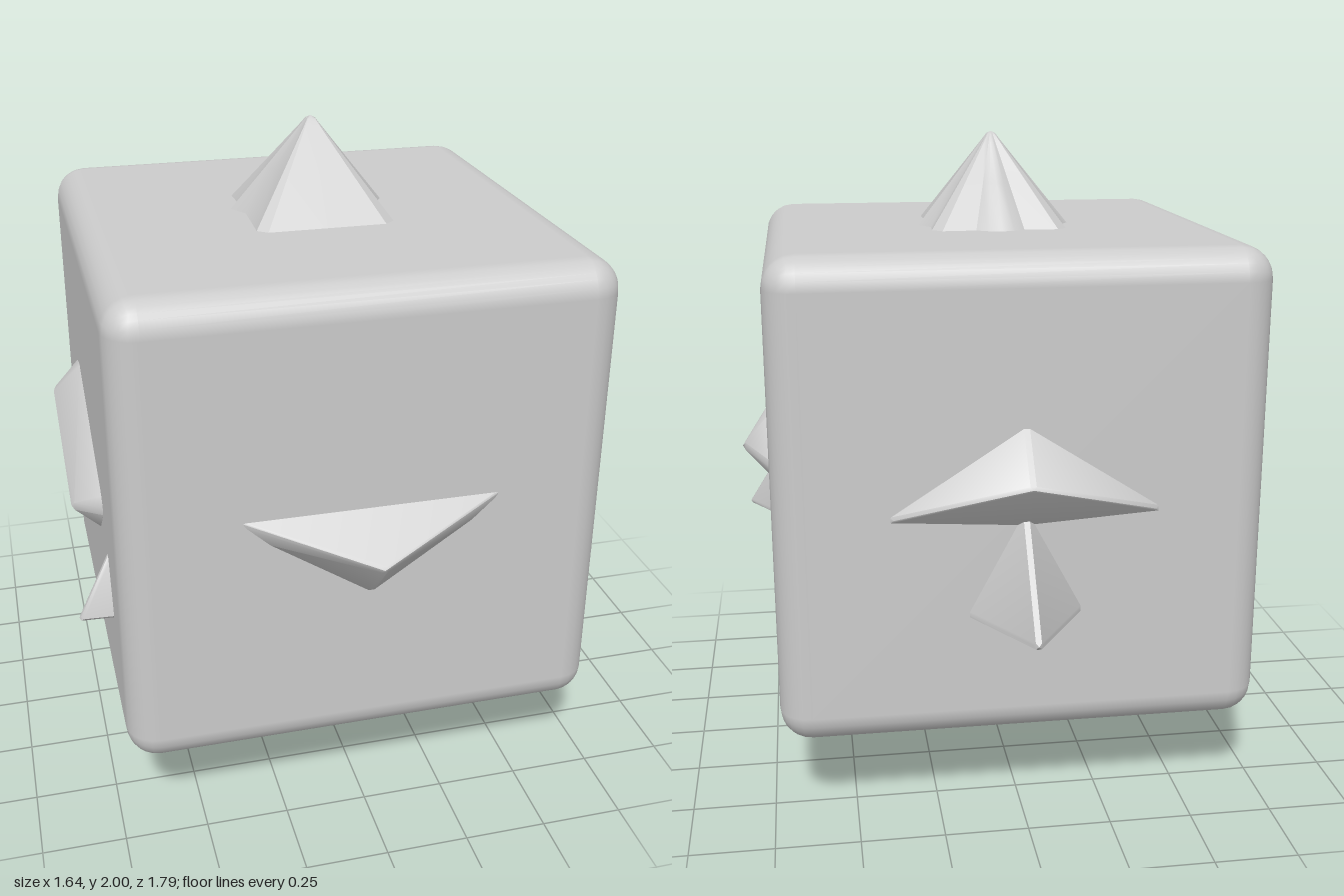
import * as THREE from 'three';
import { toCreasedNormals } from 'three/addons/utils/BufferGeometryUtils.js';
import { RoundedBoxGeometry } from 'three/addons/geometries/RoundedBoxGeometry.js';
import { ConvexGeometry } from 'three/addons/geometries/ConvexGeometry.js';

const material = new THREE.MeshStandardMaterial({ color: 0xcccccc });
const Z0 = 0.052; // depth centre of the cube

function add(group, name, geometry) {
  const mesh = new THREE.Mesh(geometry, material);
  mesh.name = name;
  group.add(mesh);
  return mesh;
}

// Convex solid with softened corners: a tiny faceted ball sits at every corner
function softHull(corners, r = 0.015) {
  const points = [];
  for (const [x, y, z] of corners) {
    const centre = new THREE.Vector3(x, y, z);
    for (let i = -1; i <= 1; i++) for (let j = -1; j <= 1; j++) for (let k = -1; k <= 1; k++) {
      const n = Math.abs(i) + Math.abs(j) + Math.abs(k);
      if (n === 1 || n === 3) points.push(new THREE.Vector3(i, j, k).setLength(r).add(centre));
    }
  }
  return toCreasedNormals(new ConvexGeometry(points), 0.75);
}

// Pyramid whose fluted outline shrinks ring by ring to the tip
function flutedPyramid(outline, rings) {
  const position = [];
  const at = ([x, z], [s, y]) => [x * s, y, Z0 + (z - Z0) * s];
  for (let r = 0; r < rings.length - 1; r++) {
    outline.forEach((p, i) => {
      const q = outline[(i + 1) % outline.length];
      const a = at(p, rings[r]), b = at(q, rings[r]);
      const c = at(q, rings[r + 1]), d = at(p, rings[r + 1]);
      position.push(...a, ...b, ...d);
      if (rings[r + 1][0] > 0) position.push(...b, ...c, ...d);
    });
  }
  const g = new THREE.BufferGeometry();
  g.setAttribute('position', new THREE.Float32BufferAttribute(position, 3));
  g.computeVertexNormals();
  return toCreasedNormals(g, 0.5);
}

export function createModel() {
  const model = new THREE.Group();
  model.name = 'spikedCube';

  // Cube body with rounded edges
  const body = add(model, 'body', new RoundedBoxGeometry(1.443, 1.443, 1.443, 3, 0.095));
  body.position.set(0, 0.993, Z0);

  // Top spike: square at the front, fluted on the sides and back
  const half = [[0, 0.265], [0.18, 0.265], [0.21, 0.24], [0.205, 0.06], [0.24, 0.0],
    [0.205, -0.06], [0.21, -0.14], [0.18, -0.17], [0.075, -0.165], [0.04, -0.19]];
  const outline = [...half, [0, -0.2], ...half.slice(1).reverse().map(([x, z]) => [-x, z])];
  add(model, 'topSpike', flutedPyramid(outline,
    [[1.04, 1.7], [0.55, 1.845], [0.13, 1.97], [0.06, 1.992], [0, 2]]));

  // Bottom spike: plain square pyramid
  add(model, 'bottomSpike', softHull([
    [0.195, 0.28, 0.25], [-0.195, 0.28, 0.25], [0.195, 0.28, -0.145], [-0.195, 0.28, -0.145],
    [0, 0.022, Z0]], 0.02));

  // Front wedge: wide, pointing down
  add(model, 'frontWedge', softHull([
    [-0.37, 1.055, 0.76], [0.37, 1.055, 0.76], [0.3, 0.99, 0.76], [-0.3, 0.99, 0.76],
    [0, 0.79, 0.76], [0, 0.925, 0.882]]));

  // Back wedge: wide, pointing up
  add(model, 'backWedge', softHull([
    [-0.38, 0.97, -0.66], [0.38, 0.97, -0.66], [0, 1.215, -0.66], [0, 0.945, -0.66],
    [0, 1.08, -0.777]]));

  // Back spike below the wedge
  add(model, 'backSpike', softHull([
    [0, 0.96, -0.66], [-0.155, 0.67, -0.66], [0.155, 0.67, -0.66], [0, 0.66, -0.882]]));

  // Mirrored side details
  for (const s of [1, -1]) {
    const side = s > 0 ? 'left' : 'right';

    // Slanted ridge, rising to the back
    add(model, side + 'Ridge', softHull([
      [0.71, 0.94, 0.39], [0.71, 0.97, 0.37], [0.71, 0.835, 0.27],
      [0.71, 1.18, -0.14], [0.71, 1.165, -0.2], [0.71, 1.04, -0.305], [0.71, 1.01, -0.28],
      [0.787, 0.92, 0.3], [0.787, 1.075, -0.21]].map(([x, y, z]) => [s * x, y, z]), 0.02));

    // Small spike near the lower front
    add(model, side + 'Spike', softHull([
      [0.71, 0.83, 0.46], [0.71, 0.66, 0.525], [0.71, 0.66, 0.35], [0.81, 0.657, 0.515],
    ].map(([x, y, z]) => [s * x, y, z]), 0.012));
  }
  return model;
}
